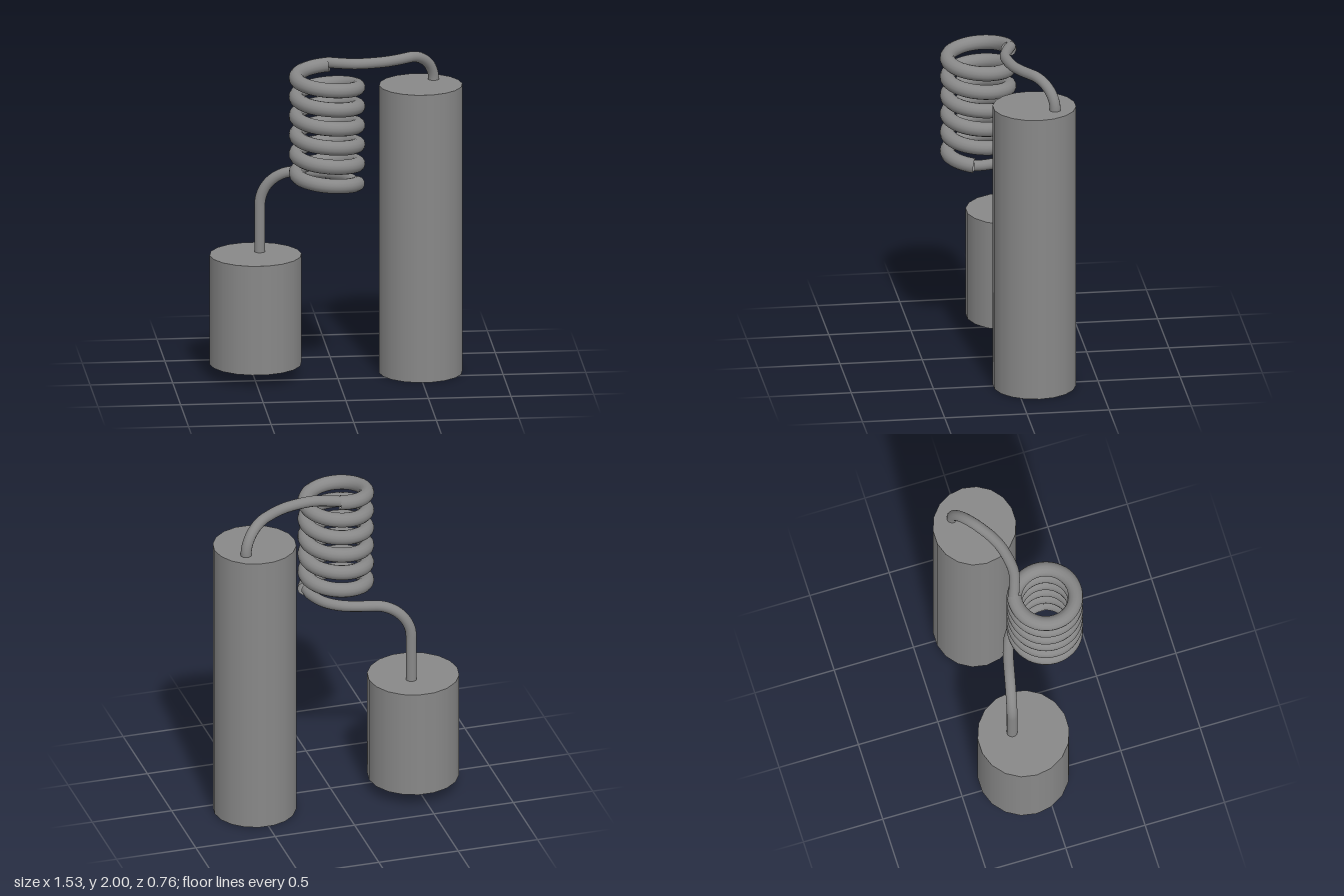
import * as THREE from 'three';

const V = (x, y, z) => new THREE.Vector3(x, y, z);
const material = new THREE.MeshStandardMaterial({ color: 0x888888, side: THREE.DoubleSide });

function addMesh(group, name, geometry) {
  const mesh = new THREE.Mesh(geometry, material);
  mesh.name = name;
  group.add(mesh);
  return mesh;
}

// Upright 18-sided canister with a closed lid and an open underside
function addCanister(parent, name, radius, y0, y1, x, z) {
  const canister = new THREE.Group();
  canister.name = name;
  canister.position.set(x, 0, z);
  const wall = new THREE.CylinderGeometry(radius, radius, y1 - y0, 18, 1, true, Math.PI / 2);
  addMesh(canister, name + 'Wall', wall).position.y = (y0 + y1) / 2;
  const lid = new THREE.CircleGeometry(radius, 18).rotateX(-Math.PI / 2);
  addMesh(canister, name + 'Lid', lid).position.y = y1;
  parent.add(canister);
}

// Level run through the points, then a quarter bend down to (end), then a straight drop to endY
function pipePath(points, end, endY) {
  const path = new THREE.CurvePath();
  const last = points[points.length - 1];
  const corner = V(end.x, last.y, end.z);
  path.add(new THREE.CatmullRomCurve3(points));
  path.add(new THREE.CubicBezierCurve3(
    last, last.clone().lerp(corner, 0.55), end.clone().lerp(corner, 0.55), end));
  path.add(new THREE.LineCurve3(end, V(end.x, endY, end.z)));
  return path;
}

// Helix winding down from the back, round by the left, front and right
class Coil extends THREE.Curve {
  getPoint(t, target = new THREE.Vector3()) {
    const a = THREE.MathUtils.lerp(-0.16, 5.75 * Math.PI * 2 - 0.27, t);
    return target.set(
      -0.08 - 0.186 * Math.sin(a),
      1.953 - 0.1193 * a / (Math.PI * 2),
      0.149 - 0.186 * Math.cos(a));
  }
}

export function createModel() {
  const model = new THREE.Group();
  model.name = 'coiledPipeAssembly';

  // Canisters
  addCanister(model, 'tallCanister', 0.252, 0, 1.795, 0.512, -0.112);
  addCanister(model, 'shortCanister', 0.278, 0.08, 0.76, -0.488, -0.11);

  // Coil
  addMesh(model, 'coil', new THREE.TubeGeometry(new Coil(), 280, 0.045, 14));

  // Pipe from the top of the coil to the tall canister
  const upper = pipePath([
    V(-0.065, 1.967, -0.045), V(0.01, 1.967, -0.015), V(0.11, 1.967, 0.01),
    V(0.27, 1.967, -0.015), V(0.36, 1.967, -0.055), V(0.44, 1.967, -0.108),
  ], V(0.6, 1.8, -0.226), 1.78);
  addMesh(model, 'upperPipe', new THREE.TubeGeometry(upper, 90, 0.033, 14));

  // Pipe from the bottom of the coil to the short canister
  const lower = pipePath([
    V(0.09, 1.268, 0.2), V(0.085, 1.268, 0.13), V(0.035, 1.268, 0.01),
    V(-0.05, 1.268, -0.065), V(-0.14, 1.268, -0.1), V(-0.24, 1.268, -0.125),
  ], V(-0.457, 1.05, -0.172), 0.75);
  addMesh(model, 'lowerPipe', new THREE.TubeGeometry(lower, 110, 0.033, 14));

  return model;
}
